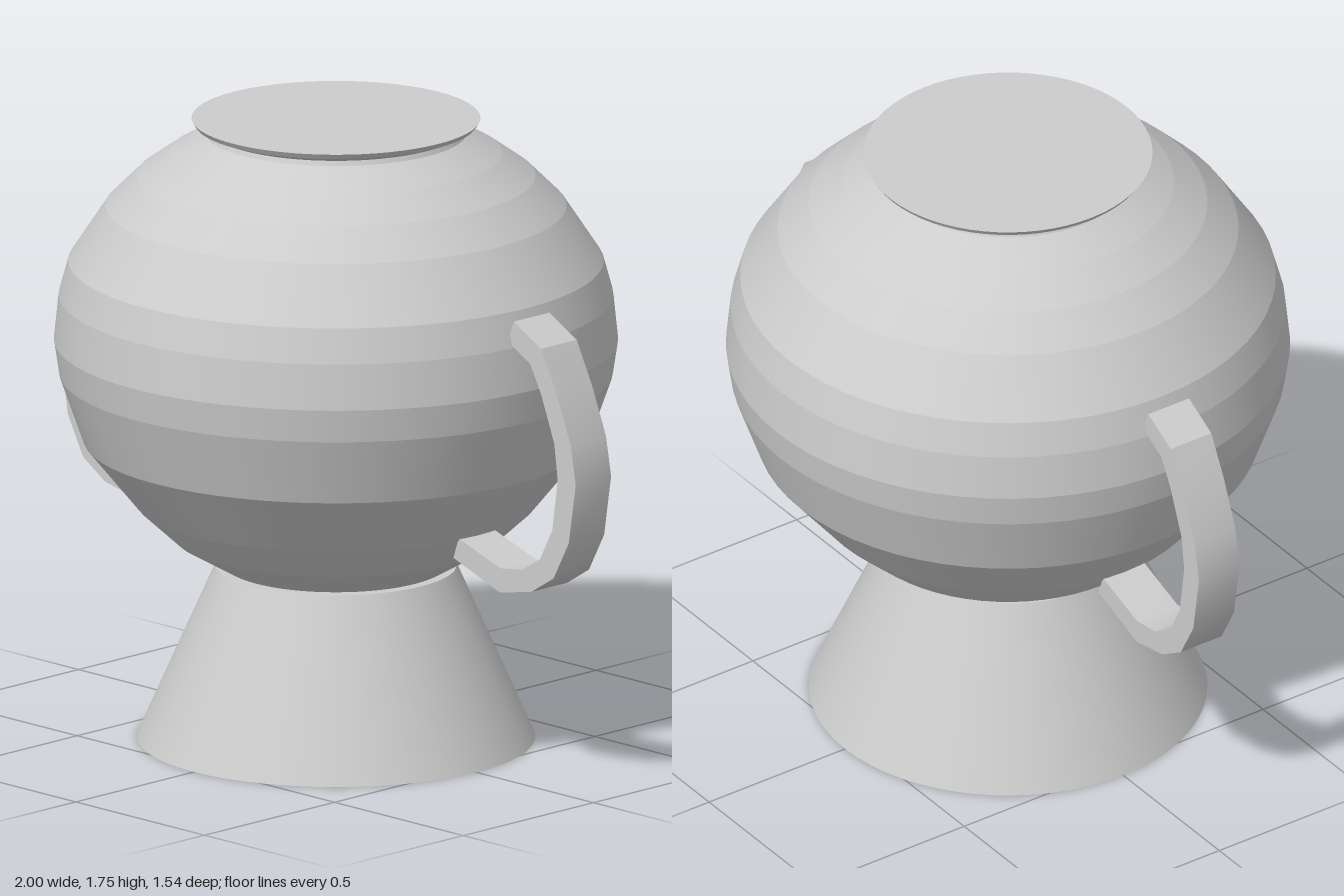
import * as THREE from 'three';
import { mergeGeometries, toCreasedNormals } from 'three/addons/utils/BufferGeometryUtils.js';

const SEGMENTS = 64;

// Revolved profile (bottom to top): smooth around, crisp between bands
function bandedLathe(profile) {
  const bands = [];
  for (let i = 0; i < profile.length - 1; i++) {
    const pair = [profile[i], profile[i + 1]].map(([r, y]) => new THREE.Vector2(r, y));
    bands.push(new THREE.LatheGeometry(pair, SEGMENTS));
  }
  return mergeGeometries(bands);
}

export function createModel() {
  const group = new THREE.Group();
  group.name = 'twoHandledUrn';
  const clay = new THREE.MeshStandardMaterial({ color: 0xcccccc });
  clay.name = 'light grey';

  const add = (name, geometry) => {
    const mesh = new THREE.Mesh(geometry, clay);
    mesh.name = name;
    group.add(mesh);
    return mesh;
  };

  // Hollow flared foot: inner wall, bottom rim, outer wall, top ring
  add('foot', bandedLathe([
    [0.295, 0.485], [0.51, 0], [0.545, 0], [0.33, 0.485], [0.295, 0.485],
  ]));

  // Round belly, closed underneath
  add('body', bandedLathe([
    [0, 0.487], [0.305, 0.487], [0.44, 0.565], [0.546, 0.663], [0.69, 0.84],
    [0.757, 1.03], [0.771, 1.123], [0.758, 1.25], [0.732, 1.345], [0.63, 1.5],
    [0.545, 1.585], [0.454, 1.65], [0.356, 1.705],
  ]));

  // Narrow neck and flared lip with a flat closed top
  add('lip', bandedLathe([
    [0.356, 1.705], [0.35, 1.718], [0.385, 1.732], [0.395, 1.747], [0, 1.747],
  ]));

  // Handle strap: outer edge from top to bottom, then inner edge back up
  const outer = [
    [0.76, 1.327], [0.866, 1.27], [0.925, 1.155], [0.98, 1.02], [1, 0.91],
    [0.973, 0.74], [0.914, 0.63], [0.828, 0.576], [0.706, 0.551], [0.525, 0.615],
  ];
  const inner = [
    [0.545, 0.674], [0.706, 0.62], [0.79, 0.631], [0.861, 0.674], [0.909, 0.765],
    [0.93, 0.91], [0.917, 1.01], [0.866, 1.14], [0.823, 1.219], [0.735, 1.267],
  ];
  const width = 0.136;
  for (const side of [1, -1]) {
    const outline = [...outer, ...inner].map(([x, y]) => new THREE.Vector2(side * x, y));
    const strap = new THREE.ExtrudeGeometry(new THREE.Shape(outline), { depth: width, bevelEnabled: false });
    strap.translate(0, 0, -width / 2);
    add(side > 0 ? 'leftHandle' : 'rightHandle', toCreasedNormals(strap, 0.55));
  }

  return group;
}
